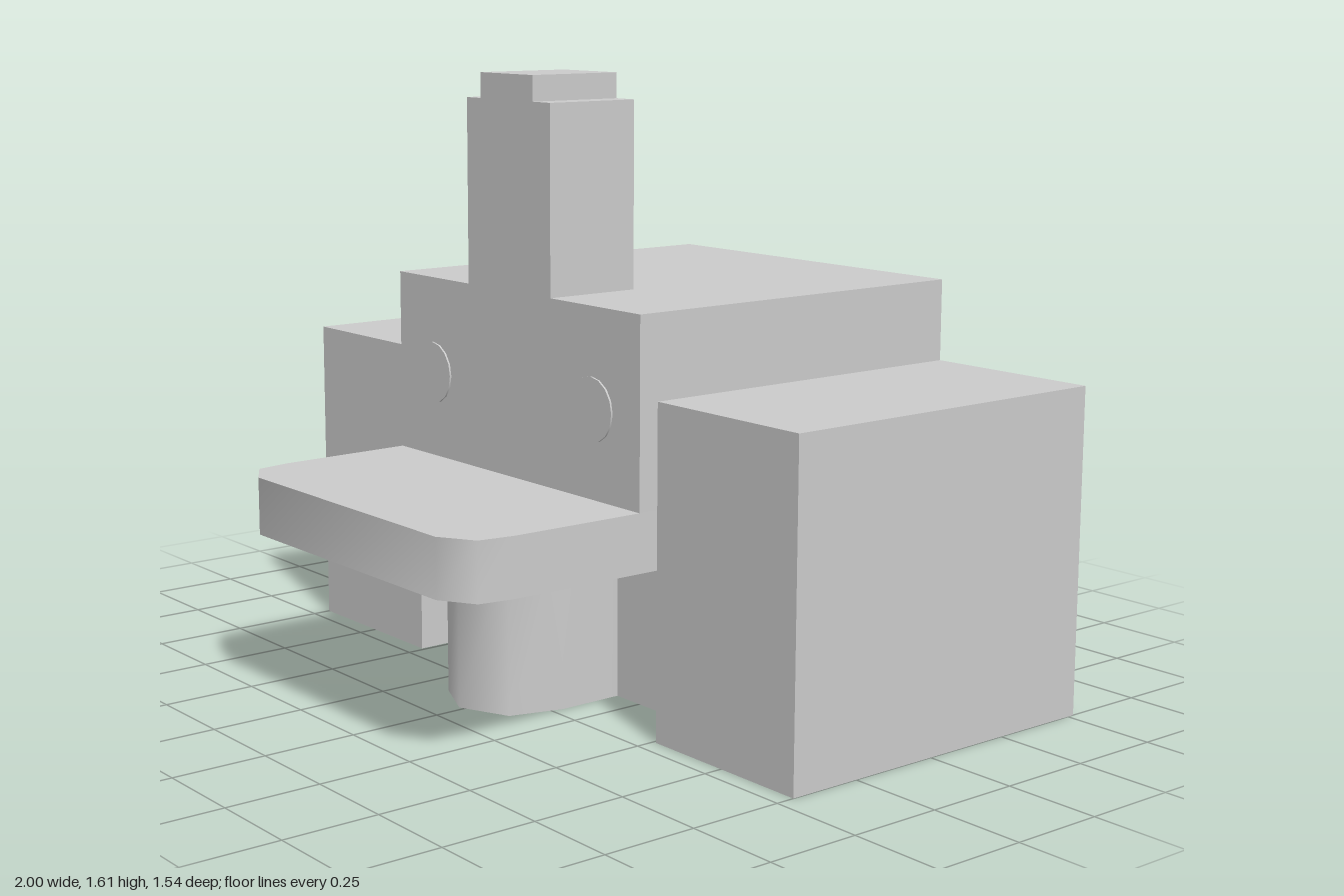
import * as THREE from 'three';
import { toCreasedNormals } from 'three/addons/utils/BufferGeometryUtils.js';

const material = new THREE.MeshStandardMaterial({ color: 0xcccccc, side: THREE.DoubleSide });
const SIDES = ['right', 'left', 'top', 'bottom', 'front', 'back']; // +x -x +y -y +z -z

function add(group, name, geometry) {
  const mesh = new THREE.Mesh(geometry, material);
  mesh.name = name;
  group.add(mesh);
  return mesh;
}

// Box between two corners that keeps only the listed faces
function panels([x0, x1], [y0, y1], [z0, z1], keep) {
  const g = new THREE.BoxGeometry(x1 - x0, y1 - y0, z1 - z0);
  g.translate((x0 + x1) / 2, (y0 + y1) / 2, (z0 + z1) / 2);
  const all = Array.from(g.index.array);
  g.setIndex(keep.flatMap((s) => {
    const i = SIDES.indexOf(s) * 6;
    return all.slice(i, i + 6);
  }));
  g.clearGroups();
  return g;
}

// Upright wall along an [x, z] profile running from +x to -x round the front
function wall(profile, y0, y1) {
  const pos = [], index = [];
  profile.forEach(([x, z], i) => {
    pos.push(x, y0, z, x, y1, z);
    if (i) {
      const a = 2 * i - 2;
      index.push(a, a + 1, a + 2, a + 2, a + 1, a + 3);
    }
  });
  const g = new THREE.BufferGeometry();
  g.setAttribute('position', new THREE.Float32BufferAttribute(pos, 3));
  g.setIndex(index);
  return toCreasedNormals(g, 1.0);
}

// Level face filling an [x, z] profile, facing up or down
function level(profile, y, up) {
  const s = up ? -1 : 1;
  const shape = new THREE.Shape(profile.map(([x, z]) => new THREE.Vector2(x, s * z)));
  return new THREE.ShapeGeometry(shape).rotateX(s * Math.PI / 2).translate(0, y, 0);
}

export function createModel() {
  const model = new THREE.Group();
  const W = 0.51, back = -0.77, wingFront = 0.2, front = 0.255, recess = 0.04;
  const wingTop = 0.85, roof = 1.065, shelfLow = 0.435, shelfTop = 0.585;
  const t0 = -0.19, t1 = 0.16; // tower and bay share these sides

  // Side wings, open underneath and towards the middle
  for (const side of [1, -1]) {
    const [outer, inner] = side > 0 ? ['right', 'left'] : ['left', 'right'];
    const span = side > 0 ? [W, 1] : [-1, -W];
    const wing = new THREE.Group();
    wing.name = side > 0 ? 'leftWing' : 'rightWing';
    add(wing, 'wingShell', panels(span, [0, wingTop], [back, wingFront], [outer, 'top', 'front', 'back']));
    add(wing, 'recessSide', panels(span, [0, shelfLow], [recess, wingFront], [inner]));
    model.add(wing);
  }

  // Hollow middle block
  add(model, 'upperBlock', panels([-W, W], [wingTop, roof], [back, front],
    ['right', 'left', 'top', 'front', 'back']));
  add(model, 'backWall', panels([-W, W], [0, wingTop], [back, front], ['back']));
  add(model, 'frontWall', panels([-W, W], [shelfTop, wingTop], [wingFront, front],
    ['right', 'left', 'front']));

  // Recessed walls beside the bay
  for (const span of [[-W, t0], [t1, W]]) {
    add(model, 'recessWall', panels(span, [0, shelfLow], [back, recess], ['front']));
  }

  // Shelf with softened front corners
  const corner = [[0.505, 0.62], [0.49, 0.715], [0.4, 0.77]];
  const rim = [...corner, ...corner.map(([x, z]) => [-x, z]).reverse()];
  const outline = (z) => [[W, z], ...rim, [-W, z]];
  const shelf = new THREE.Group();
  shelf.name = 'shelf';
  add(shelf, 'shelfTop', level(outline(front), shelfTop, true));
  add(shelf, 'shelfUnderside', level(outline(recess), shelfLow, false));
  add(shelf, 'shelfEdge', wall(outline(wingFront), shelfLow, shelfTop));
  model.add(shelf);

  // Rounded hollow bay under the shelf, open at the back and below
  add(model, 'roundedBay', wall([[t1, recess], [t1, 0.22], [0.12, 0.36], [-0.015, 0.42],
    [-0.15, 0.36], [t0, 0.22], [t0, recess]], 0, shelfLow));

  // Tower and its cap, flush with the front wall
  const towerFaces = ['right', 'left', 'top', 'front', 'back'];
  add(model, 'tower', panels([t0, t1], [roof, 1.545], [-0.01, front], towerFaces));
  add(model, 'towerCap', panels([-0.13, 0.09], [1.545, 1.61], [-0.01, front], towerFaces));

  // Thin round discs on the front wall
  for (const x of [-0.355, 0.325]) {
    const disc = add(model, 'frontDisc', new THREE.CylinderGeometry(0.082, 0.082, 0.006, 16));
    disc.rotation.x = Math.PI / 2;
    disc.position.set(x, 0.81, front + 0.002);
  }

  return model;
}
